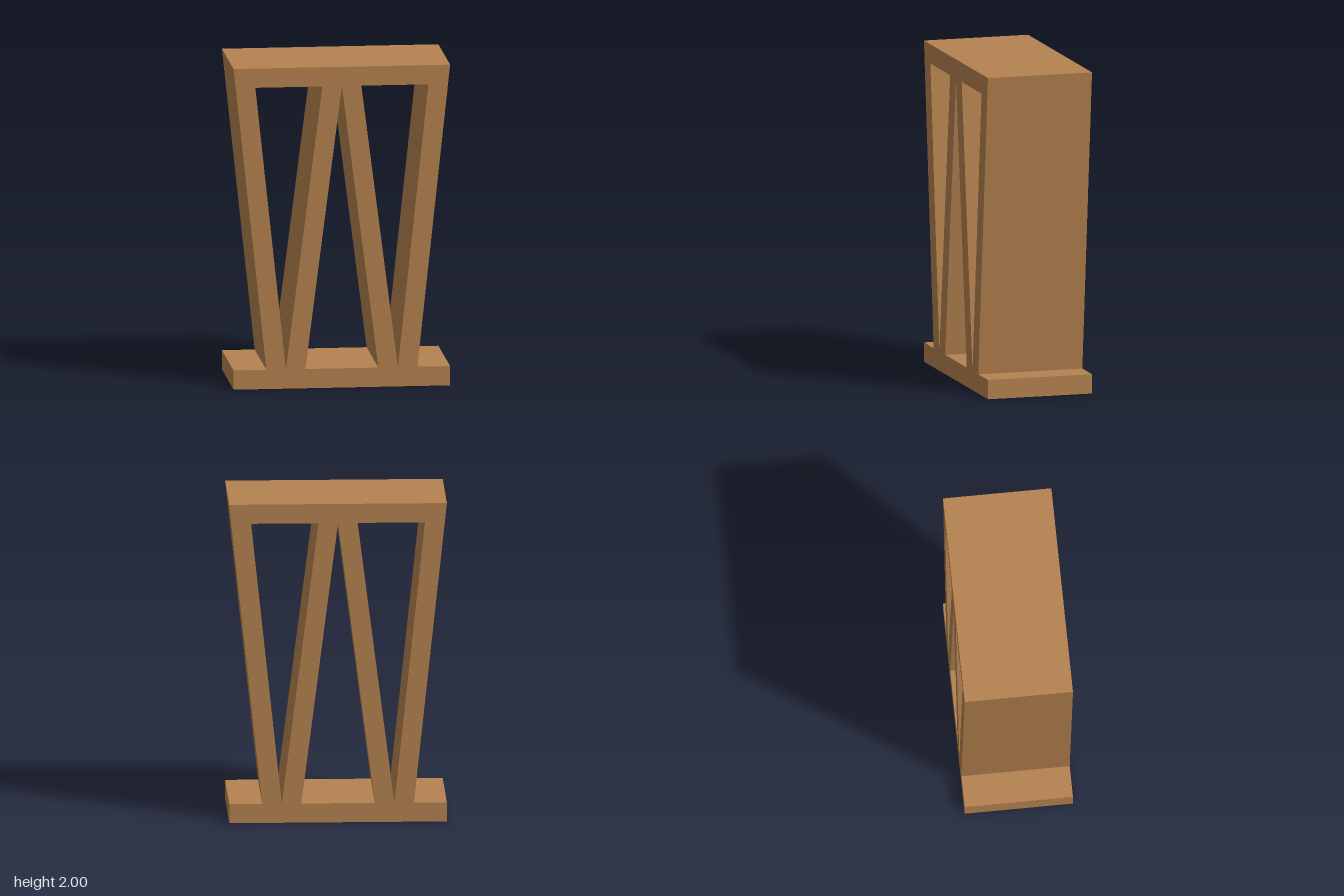
import * as THREE from 'three';

const W = 0.667, DEPTH = 0.667, H = 2, T = 0.12; // half width, depth, height, board thickness
const FOOT = 0.465;   // outer foot of the slanted legs
const VALLEY = 0.345; // where two legs meet on the base

const points = (list) => list.map(([x, y]) => new THREE.Vector2(x, y));

export function createModel() {
  const group = new THREE.Group();
  group.name = 'trestleStand';
  const wood = new THREE.MeshStandardMaterial({ color: 0xb5824f });

  // Outline: base board, slanted outer legs and top board in one piece
  const right = [[W, 0], [W, T], [FOOT, T], [W, H]];
  const left = right.map(([x, y]) => [-x, y]).reverse();
  const outline = new THREE.Shape(points([...right, ...left]));

  // Openings: a triangle between the inner legs, and a V on each side
  outline.holes.push(new THREE.Path(points([[-0.225, T], [0, H - T], [0.225, T]])));
  for (const s of [-1, 1]) {
    outline.holes.push(new THREE.Path(points([
      [s * VALLEY, T], [s * 0.12, H - T], [s * 0.533, H - T],
    ])));
  }

  const geometry = new THREE.ExtrudeGeometry(outline, { depth: DEPTH, bevelEnabled: false });
  geometry.translate(0, 0, -DEPTH / 2);
  const frame = new THREE.Mesh(geometry, wood);
  frame.name = 'zigzagFrame';
  group.add(frame);
  return group;
}
